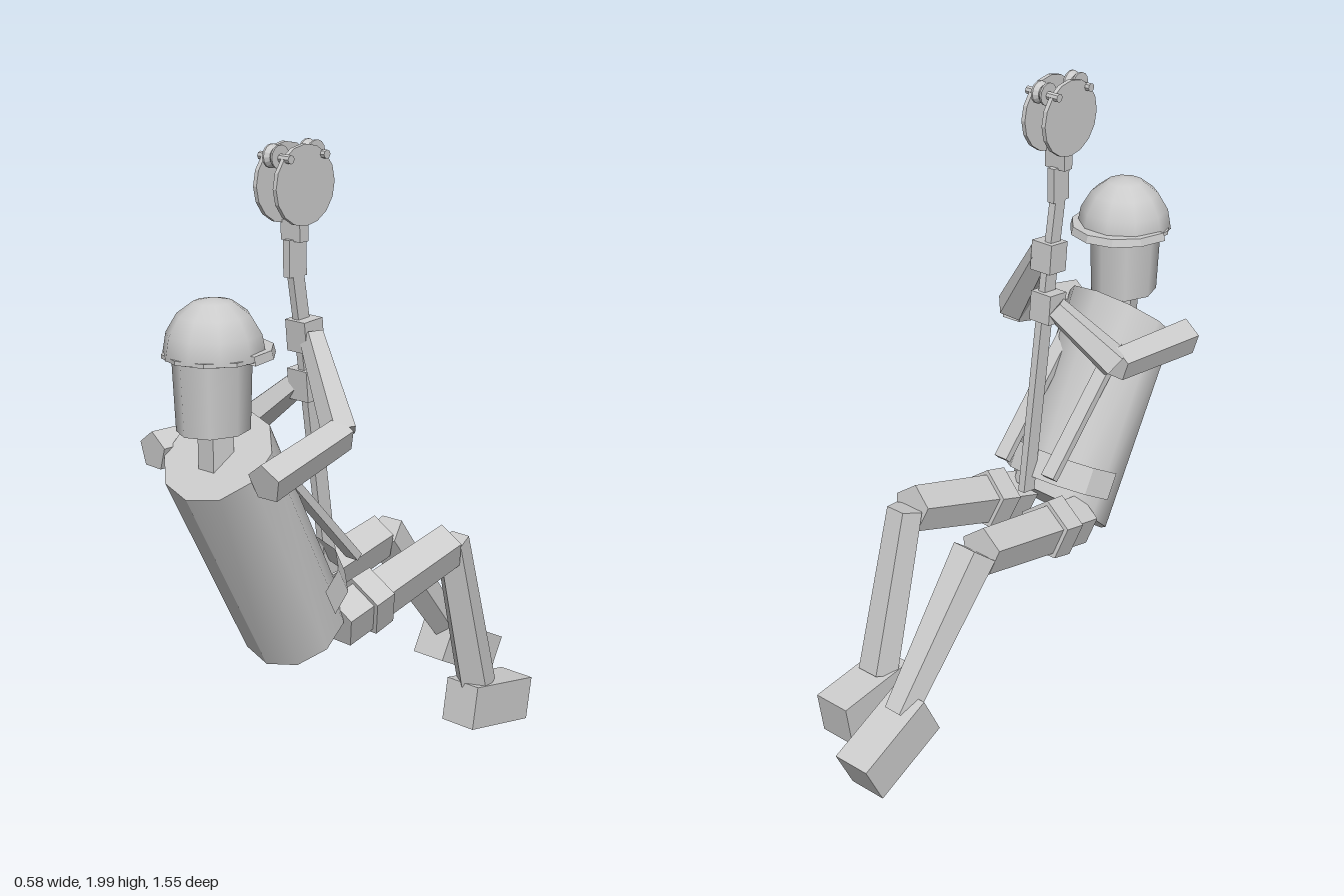
import * as THREE from 'three';

const V = (x, y, z) => new THREE.Vector3(x, y, z);
const smooth = new THREE.MeshStandardMaterial({ color: 0xcccccc, side: THREE.DoubleSide });
const flat = new THREE.MeshStandardMaterial({ color: 0xcccccc, flatShading: true, side: THREE.DoubleSide });

export function createModel() {
  const model = new THREE.Group();
  model.name = 'pulleyRider';

  const add = (name, geometry, material = flat) => {
    const mesh = new THREE.Mesh(geometry, material);
    mesh.name = name;
    model.add(mesh);
    return mesh;
  };

  // Moves a y-long geometry so y runs along a to b and its +z leans to the hint
  const span = (geometry, a, b, hint) => {
    const y = b.clone().sub(a).normalize();
    const x = y.clone().cross(hint).normalize();
    const m = new THREE.Matrix4().makeBasis(x, y, x.clone().cross(y));
    return geometry.applyMatrix4(m.setPosition(a.clone().add(b).multiplyScalar(0.5)));
  };
  const limb = (name, a, b, ra, rb, hint) =>
    add(name, span(new THREE.CylinderGeometry(rb, ra, a.distanceTo(b), 5), a, b, hint));
  const bar = (name, a, b, w, d) =>
    add(name, span(new THREE.BoxGeometry(w, a.distanceTo(b), d), a, b, V(0, 0, 1)));
  const box = (name, w, h, d, x, y, z, tilt = 0) => {
    const mesh = add(name, new THREE.BoxGeometry(w, h, d));
    mesh.position.set(x, y, z);
    mesh.rotation.x = tilt;
  };

  // Leaning torso with slanted ends
  const spine = V(0, 0.595, 0.3), depth = V(0, -0.107, 0.12);
  const torso = new THREE.CylinderGeometry(0.195, 0.185, 1, 10);
  torso.scale(1, 1, 1 / 0.19);
  torso.applyMatrix4(new THREE.Matrix4().makeBasis(V(1, 0, 0), spine, depth).setPosition(0, 0.842, 0.47));
  torso.computeVertexNormals();
  add('torso', torso, smooth);

  // Waist belt wrapped around the front of the torso
  const belt = new THREE.CylinderGeometry(1, 1, 0.09, 6, 1, true, Math.PI / 2, Math.PI);
  belt.scale(0.195, 1, 0.185);
  belt.rotateX(0.47);
  belt.translate(0, 0.665, 0.36);
  add('waistBelt', belt);

  // Neck, head and helmet
  limb('neck', V(0, 1.1, 0.62), V(0, 1.24, 0.62), 0.055, 0.055, V(0, 0, -1));
  const head = new THREE.CylinderGeometry(0.108, 0.1, 0.22, 8);
  head.scale(1, 1, 1.12);
  head.translate(0, 1.325, 0.632);
  add('head', head, smooth);
  const dome = new THREE.SphereGeometry(0.15, 10, 4, 0, Math.PI * 2, 0, Math.PI / 2);
  dome.scale(1, 1.12, 1);
  dome.translate(0, 1.432, 0.623);
  add('helmetDome', dome, smooth);
  const rim = new THREE.CylinderGeometry(0.15, 0.15, 0.012, 10);
  rim.translate(0, 1.436, 0.623);
  add('helmetRim', rim);
  const brim = new THREE.CylinderGeometry(0.162, 0.168, 0.025, 6, 1, false, Math.PI / 2, Math.PI);
  brim.scale(1, 1, 1.1);
  brim.translate(0, 1.441, 0.623);
  add('helmetBrim', brim);

  // Arms: upper arm reaching forward, forearm rising to a fist on the rope
  const arms = [
    { side: 'left', s: 1, elbowY: 1.185, handY: 1.435, handZ: 0.272 },
    { side: 'right', s: -1, elbowY: 1.115, handY: 1.28, handZ: 0.247 },
  ];
  for (const { side, s, elbowY, handY, handZ } of arms) {
    const elbow = V(s * 0.215, elbowY, 0.335);
    limb(side + 'UpperArm', V(s * 0.235, 1.11, 0.66), elbow, 0.06, 0.055, V(0, 1, 0));
    limb(side + 'Forearm', elbow, V(s * 0.04, handY, handZ), 0.055, 0.04, V(0, 0, -1));
    box(side + 'Hand', 0.08, 0.095, 0.075, s * 0.01, handY, handZ, 0.08);
  }

  // Legs: thigh, shin, block foot and harness loop
  const legs = [
    { side: 'left', s: 1, kneeY: 0.69, ankle: V(0.145, 0.17, -0.37), r: [0.058, 0.066], foot: [0.1, -0.43], tilt: -0.17 },
    { side: 'right', s: -1, kneeY: 0.65, ankle: V(-0.14, 0.23, -0.56), r: [0.072, 0.052], foot: [0.157, -0.617], tilt: -0.48 },
  ];
  for (const { side, s, kneeY, ankle, r, foot, tilt } of legs) {
    const hip = V(s * 0.125, 0.56, 0.27), knee = V(s * 0.148, kneeY, -0.21);
    limb(side + 'Thigh', hip, knee, 0.084, 0.076, V(0, 1, 0));
    limb(side + 'Shin', V(s * 0.148, kneeY + 0.01, -0.235), ankle, r[0], r[1], V(0, 0, 1));
    box(side + 'Foot', 0.13, 0.142, 0.28, s * 0.145, foot[0], foot[1], tilt);
    const along = (t) => hip.clone().lerp(knee, t);
    limb(side + 'LegLoop', along(0.2), along(0.355), 0.1, 0.097, V(0, 1, 0));
    bar(side + 'ChestStrap', V(s * 0.1, 1.15, 0.53), V(s * 0.1, 0.74, 0.16), 0.05, 0.025);
  }

  // Rope from the harness up to the pulley
  bar('harnessRope', V(0, 0.66, 0.165), V(0, 1.45, 0.27), 0.025, 0.05);
  bar('upperRope', V(0, 1.4, 0.265), V(0, 1.63, 0.3), 0.025, 0.045);
  box('ropeClamp', 0.026, 0.11, 0.07, 0, 1.665, 0.3);
  box('pulleyHanger', 0.078, 0.06, 0.036, 0, 1.745, 0.3);

  // Pulley: two round plates, two grooved wheels and their bolts
  const disc = (name, r, length, x, y, z, sides) => {
    const g = new THREE.CylinderGeometry(r, r, length, sides);
    g.rotateZ(Math.PI / 2);
    g.translate(x, y, z);
    add(name, g);
  };
  for (const s of [1, -1]) {
    disc('pulleyPlate', 0.118, 0.014, s * 0.04, 1.88, 0.3, 16);
    const z = 0.3 + s * 0.072;
    const wheel = new THREE.LatheGeometry([
      [0.001, -0.02], [0.035, -0.02], [0.035, -0.014], [0.024, 0],
      [0.035, 0.014], [0.035, 0.02], [0.001, 0.02],
    ].map(([r, y]) => new THREE.Vector2(r, y)), 14);
    wheel.rotateZ(Math.PI / 2);
    wheel.translate(0, 1.965, z);
    add('pulleyWheel', wheel);
    disc('pulleyBolt', 0.013, 0.125, 0, 1.962, z, 8);
  }
  return model;
}
